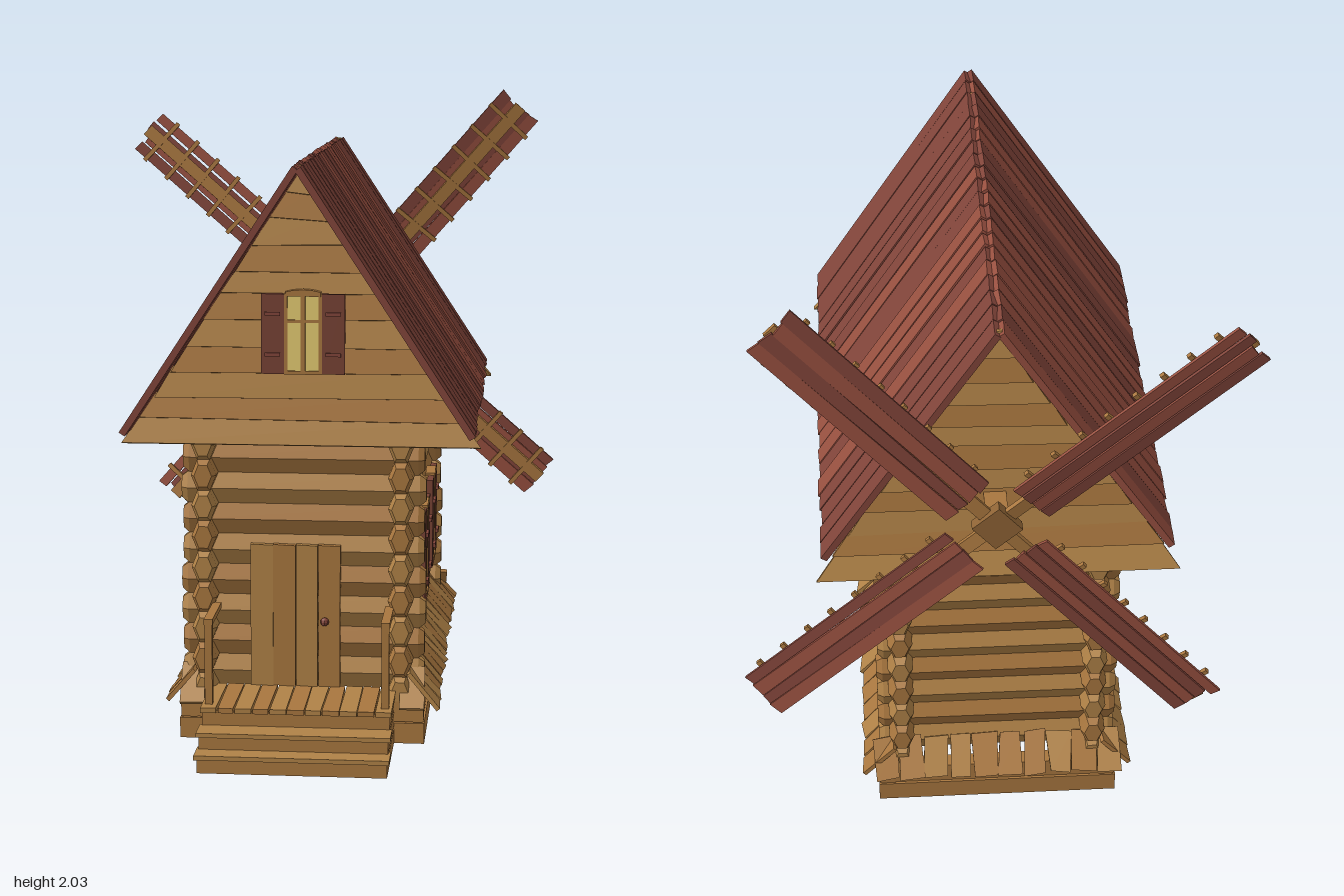
import * as THREE from 'three';

const mat = (color) => new THREE.MeshStandardMaterial({ color, flatShading: true });
const wood = mat(0xa9773f), paleWood = mat(0xb08247), darkWood = mat(0x8f6435);
const red = mat(0x985040), darkRed = mat(0x82453a), shutterRed = mat(0x774234), glass = mat(0xe6cc72);

let seed = 7;
const rnd = () => { seed = (seed * 16807) % 2147483647; return seed / 2147483647 - 0.5; };

function add(parent, name, geo, material, x = 0, y = 0, z = 0) {
  const m = new THREE.Mesh(geo, material);
  m.name = name;
  m.position.set(x, y, z);
  parent.add(m);
  return m;
}
const box = (parent, name, material, w, h, d, x, y, z) =>
  add(parent, name, new THREE.BoxGeometry(w, h, d), material, x, y, z);

function group(parent, name, x = 0, y = 0, z = 0) {
  const g = new THREE.Group();
  g.name = name;
  g.position.set(x, y, z);
  parent.add(g);
  return g;
}

// Hand-cut board: length along y, slightly uneven in width and at the ends
function plankGeo(w, len, t, wobble = 0.008) {
  const geo = new THREE.BoxGeometry(w, len, t);
  const p = geo.attributes.position;
  const top = rnd() * wobble, bottom = rnd() * wobble, skew = rnd() * wobble;
  for (let i = 0; i < p.count; i++) {
    const sx = Math.sign(p.getX(i)), sy = Math.sign(p.getY(i));
    p.setX(i, p.getX(i) + sx * (sy > 0 ? top : bottom));
    p.setY(i, p.getY(i) + sx * skew);
  }
  geo.computeVertexNormals();
  return geo;
}

// Six-sided log lying along z, points to the sides, ends chamfered
function logGeo(len) {
  const h = len / 2, r = 0.058;
  const profile = [[0, -h], [r * 0.7, -h], [r, -h + 0.02], [r, h - 0.02], [r * 0.7, h], [0, h]];
  return new THREE.LatheGeometry(profile.map(([x, y]) => new THREE.Vector2(x, y)), 6)
    .rotateY(Math.PI / 6).rotateX(Math.PI / 2).scale(0.7, 1, 1);
}

// Shuttered window facing +z, origin at its centre
function makeWindow(parent, name, x, y, z, s = 1) {
  const g = group(parent, name, x, y, z);
  box(g, 'pane', glass, 0.135, 0.3, 0.02, 0, 0, 0);
  for (const sx of [-1, 1]) {
    box(g, 'frameSide', wood, 0.014, 0.315, 0.03, sx * 0.068, 0, 0);
    const shutter = group(g, 'shutter', sx * 0.119, 0, 0.006);
    box(shutter, 'shutterBoard', shutterRed, 0.09, 0.315, 0.022, 0, 0, 0);
    for (const sy of [-1, 1]) box(shutter, 'shutterBatten', darkRed, 0.06, 0.014, 0.012, 0, sy * 0.08, 0.014);
  }
  box(g, 'mullion', wood, 0.018, 0.3, 0.03, 0, 0, 0);
  box(g, 'glazingBar', wood, 0.135, 0.012, 0.028, 0, 0.05, 0);
  box(g, 'sill', wood, 0.15, 0.014, 0.036, 0, -0.152, 0);
  const arch = new THREE.Shape();
  arch.moveTo(-0.07, 0.148);
  arch.lineTo(0.07, 0.148);
  arch.lineTo(0.07, 0.165);
  arch.quadraticCurveTo(0, 0.185, -0.07, 0.165);
  add(g, 'archedHead', new THREE.ExtrudeGeometry(arch, { depth: 0.034, bevelEnabled: false, curveSegments: 6 }), wood, 0, 0, -0.014);
  g.scale.setScalar(s);
  return g;
}

// Overlapping boards filling the triangle under the roof, facing +z; the lowest two flare out
function makeGable(parent, name, flare) {
  const g = group(parent, name);
  const n = 11, y0 = 0.965, step = 0.08;
  const half = (y) => Math.max(0.008, 0.565 * (1.84 - y) / 0.87);
  for (let i = 0; i < n; i++) {
    const a = y0 + i * step, h = step + 0.01, low = half(a), high = half(a + h);
    const s = new THREE.Shape([
      new THREE.Vector2(-low, rnd() * 0.018), new THREE.Vector2(low, rnd() * 0.018),
      new THREE.Vector2(high, h + rnd() * 0.01), new THREE.Vector2(-high, h + rnd() * 0.01)]);
    const out = Math.max(0, 2 - i) * flare;
    const b = add(g, 'gableBoard', new THREE.ExtrudeGeometry(s, { depth: 0.016, bevelEnabled: false }),
      i % 2 ? wood : paleWood, 0, a, 0.012 + out);
    b.rotation.x = -0.18 - out * 5;
  }
  return g;
}

// Sail with its length along +y, open frame toward +z
function makeSail(parent, angle) {
  const arm = group(parent, 'sail');
  arm.rotation.z = angle - Math.PI / 2;
  const g = group(arm, 'sailFrame');
  g.rotation.y = 0.16;
  for (let i = 0; i < 4; i++) {
    const len = 0.85 + rnd() * 0.03;
    add(g, 'sailSlat', plankGeo(0.041, len, 0.01), i % 2 ? red : darkRed, -0.066 + i * 0.044, 0.135 + len / 2, -0.008);
  }
  box(g, 'sailSpar', wood, 0.045, 0.98, 0.016, 0, 0.5, 0.006);
  for (let i = 0; i < 8; i++) {
    const bar = box(g, 'sailCrossbar', wood, 0.188, 0.016, 0.014, 0, 0.2 + i * 0.103, 0.012);
    bar.rotation.z = rnd() * 0.08;
  }
}

export function createModel() {
  const root = new THREE.Group();
  root.name = 'windmillCabin';
  const house = group(root, 'house', -0.012, 0, 0);
  const zc = -0.13;

  // Hollow plinth of two stacked beams
  for (let i = 0; i < 2; i++) {
    const y = 0.035 + i * 0.07, o = i * 0.006;
    for (const s of [-1, 1]) {
      box(house, 'plinthSide', wood, 0.05, 0.067, 1.48 - o, s * (0.37 - o), y, zc);
      box(house, 'plinthEnd', wood, 0.79 - o, 0.067, 0.05, 0, y, zc + s * (0.715 - o));
    }
  }

  // Log walls with crossed corners
  for (const s of [-1, 1]) {
    for (let i = 0; i < 9; i++)
      add(house, 'sideLog', logGeo(1.475 + rnd() * 0.02), i % 2 ? wood : paleWood, s * 0.315, 0.165 + i * 0.1, zc);
    for (let i = 0; i < 8; i++)
      add(house, 'endLog', logGeo(0.78 + rnd() * 0.02).rotateY(Math.PI / 2), i % 2 ? wood : paleWood, 0, 0.215 + i * 0.1, zc + s * 0.645);
  }
  box(house, 'ceilingBeam', wood, 0.88, 0.11, 1.43, 0, 1.018, zc);

  // Sloped skirt boards around the foot of the walls
  function skirtBoard(x, z, turn, w) {
    const g = group(house, 'skirt', x, 0.178, z);
    g.rotation.y = turn;
    const b = add(g, 'skirtBoard', plankGeo(w, 0.14 + rnd() * 0.02, 0.014, 0.012), rnd() > 0 ? wood : paleWood);
    b.rotation.set(-0.72 + rnd() * 0.12, 0, rnd() * 0.1);
  }
  for (const s of [-1, 1]) {
    for (let i = 0; i < 18; i++) skirtBoard(s * 0.39, 0.575 - i * 0.083, s * Math.PI / 2, 0.076);
    skirtBoard(s * 0.355, 0.585, 0, 0.075);
  }
  for (let i = 0; i < 10; i++) skirtBoard(-0.37 + i * 0.082, -0.86, Math.PI, 0.076);

  // Roof: upright boards down both slopes
  const roof = group(house, 'roof');
  const slope = Math.atan2(0.55, 0.84);
  for (const s of [-1, 1]) for (let i = 0; i < 20; i++) {
    const len = 0.985 + rnd() * 0.02;
    const slot = group(roof, 'roofSlot', s * 0.01, 1.857, 0.73 - i * 0.0808);
    slot.rotation.z = s * slope;
    const geo = plankGeo(0.076, len, 0.022, 0.007).rotateY(Math.PI / 2);
    add(slot, 'roofBoard', geo, rnd() > 0 ? red : darkRed, -s * 0.006 + rnd() * 0.004, -len / 2, 0);
  }

  // Gables
  makeGable(house, 'frontGable', 0.012).position.z = 0.6;
  const back = makeGable(house, 'backGable', 0.022);
  back.rotation.y = Math.PI;
  back.position.z = -0.815;

  // Windows
  makeWindow(house, 'gableWindow', 0.01, 1.33, 0.64, 0.8);
  for (const s of [-1, 1]) for (const z of [0.137, -0.413])
    makeWindow(house, 'sideWindow', s * 0.364, 0.533, z).rotation.y = s * Math.PI / 2;

  // Door
  const door = group(house, 'door', -0.023, 0.405, 0.563);
  for (let i = 0; i < 4; i++)
    add(door, 'doorBoard', plankGeo(0.071, 0.465, 0.022, 0.003), i % 2 ? wood : paleWood, -0.1085 + i * 0.0725, 0, 0);
  add(door, 'doorKnob', new THREE.SphereGeometry(0.014, 8, 6), darkRed, 0.095, -0.015, 0.02);

  // Porch, steps and handrails
  const porch = group(house, 'porch', 0.003, 0, 0);
  for (let i = 0; i < 11; i++)
    add(porch, 'deckBoard', plankGeo(0.05, 0.28, 0.016, 0.005).rotateX(Math.PI / 2), i % 2 ? wood : paleWood, -0.275 + i * 0.055, 0.164, 0.7);
  [[0.845, 0.115, 0.055], [0.92, 0.06, 0.055], [0.975, 0, 0.06]].forEach(([z, y, h], i) => {
    box(porch, 'stepRiser', wood, 0.59, h - 0.012, 0.016, 0, y + (h - 0.012) / 2, z - 0.02);
    for (const s of [-1, 1]) box(porch, 'stepSide', wood, 0.02, h - 0.012, z - 0.625, s * 0.285, y + (h - 0.012) / 2, (z + 0.585) / 2);
    if (i) box(porch, 'stepTread', paleWood, 0.605, 0.014, 0.095, 0, y + h - 0.007, z - 0.045);
  });
  for (const s of [-1, 1]) {
    box(porch, 'railPost', wood, 0.024, 0.27, 0.024, s * 0.278, 0.305, 0.787);
    box(porch, 'handrail', wood, 0.028, 0.018, 0.22, s * 0.278, 0.438, 0.69);
  }

  // Windmill axle, hub and four sails
  const mill = group(root, 'windmill', 0, 1.225, -0.943);
  box(mill, 'axle', wood, 0.07, 0.085, 0.2, 0, 0, 0.09);
  const hub = box(mill, 'hub', darkWood, 0.11, 0.11, 0.04, 0, 0, 0);
  hub.rotation.z = 0.85;
  for (let k = 0; k < 4; k++) makeSail(mill, THREE.MathUtils.degToRad(48.8 + 90 * k));
  return root;
}
